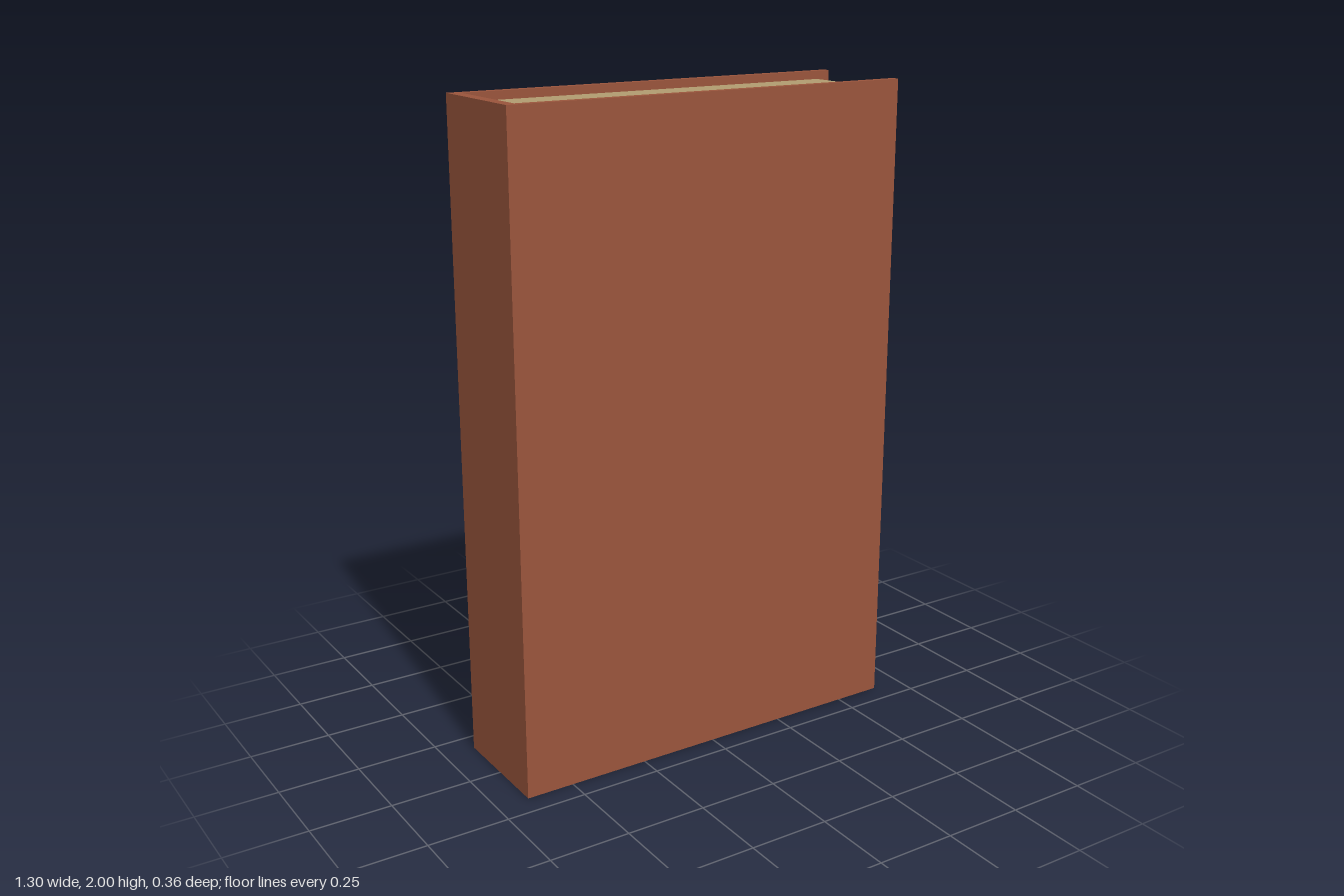
import * as THREE from 'three';

const W = 0.65;      // half width of the cover
const D = 0.18;      // half thickness of the book
const H = 2;         // cover height
const BOARD = 0.025; // board thickness
const SPINE = 0.035; // spine thickness

export function createModel() {
  const leather = new THREE.MeshStandardMaterial({ color: 0x9a553c });
  leather.name = 'russet cover';
  const paper = new THREE.MeshStandardMaterial({ color: 0xb29c70 });
  paper.name = 'aged paper';

  const book = new THREE.Group();
  book.name = 'book';

  // Cover: U-shaped section (two boards joined by the spine), extruded upwards
  const inner = D - BOARD;
  const section = new THREE.Shape([
    [-W, -D], [W, -D], [W, -inner], [-W + SPINE, -inner],
    [-W + SPINE, inner], [W, inner], [W, D], [-W, D],
  ].map(([x, y]) => new THREE.Vector2(x, y)));
  const coverGeometry = new THREE.ExtrudeGeometry(section, { depth: H, bevelEnabled: false });
  coverGeometry.rotateX(-Math.PI / 2);
  const cover = new THREE.Mesh(coverGeometry, leather);
  cover.name = 'cover';
  book.add(cover);

  // Page block: set back from the head, tail and fore edge
  const left = -W + SPINE, right = 0.605, inset = 0.025;
  const pages = new THREE.Mesh(
    new THREE.BoxGeometry(right - left, H - 2 * inset, 2 * inner), paper);
  pages.position.set((left + right) / 2, H / 2, 0);
  pages.name = 'pages';
  book.add(pages);

  return book;
}
